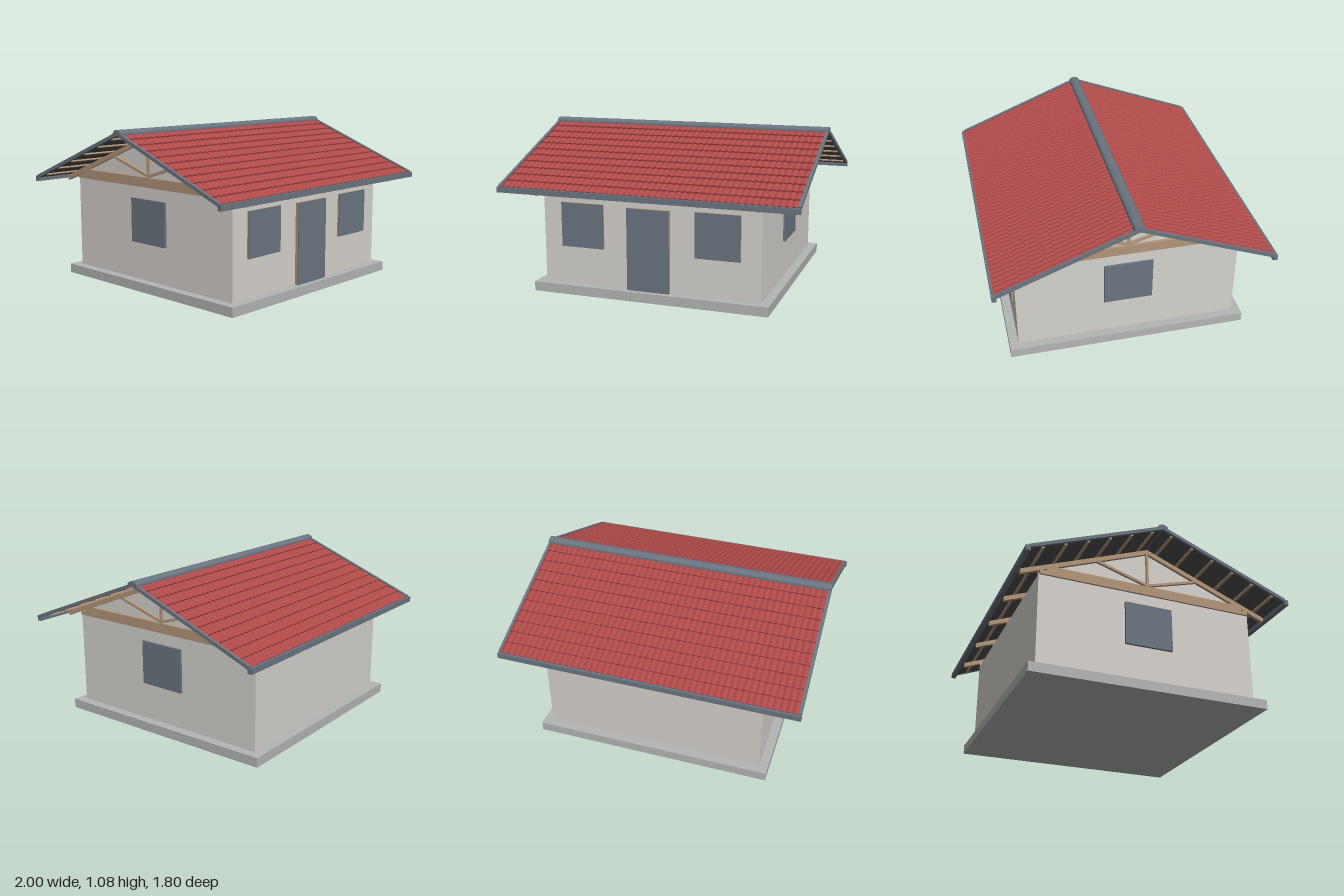
import * as THREE from 'three';

const mat = (name, color) => {
  const m = new THREE.MeshStandardMaterial({ color });
  m.name = name;
  return m;
};

export function createModel() {
  const wallMat = mat('plaster', 0xd6d3ce);
  const baseMat = mat('concrete', 0xb4b6b6);
  const woodMat = mat('timber', 0xb3967a);
  const slateMat = mat('slate grey', 0x6b7580);
  const tileMat = mat('red tile', 0xb04a4a);
  const sheetMat = mat('dark underlay', 0x505052);
  tileMat.side = THREE.DoubleSide;

  const house = new THREE.Group();
  house.name = 'house';

  const add = (parent, name, geometry, material) => {
    const mesh = new THREE.Mesh(geometry, material);
    mesh.name = name;
    parent.add(mesh);
    return mesh;
  };
  // Box given by its lower and upper limits on each axis
  const box = (parent, name, material, x0, x1, y0, y1, z0, z1) => {
    const mesh = add(parent, name, new THREE.BoxGeometry(x1 - x0, y1 - y0, z1 - z0), material);
    mesh.position.set((x0 + x1) / 2, (y0 + y1) / 2, (z0 + z1) / 2);
    return mesh;
  };
  // Polygon in the z-y plane, extruded along x about x = 0
  const prism = (points, depth) => {
    const shape = new THREE.Shape(points.map(([z, y]) => new THREE.Vector2(z, y)));
    const g = new THREE.ExtrudeGeometry(shape, { depth, bevelEnabled: false });
    g.translate(0, 0, -depth / 2);
    g.rotateY(-Math.PI / 2);
    return g;
  };

  // Slab and walls
  box(house, 'baseSlab', baseMat, -0.8, 0.8, 0, 0.063, -0.8, 0.8);
  box(house, 'walls', wallMat, -0.74, 0.74, 0.063, 0.69, -0.74, 0.74);

  // Door and front windows: timber frame with a grey panel in front
  const opening = (name, x0, x1, y0, y1, front) => {
    box(house, name + 'Frame', woodMat, x0, x1, y0, y1, 0.735, front - 0.006);
    box(house, name + 'Panel', slateMat, x0, x1, y0, y1, front - 0.006, front);
  };
  opening('door', -0.143, 0.143, 0.063, 0.605, 0.768);
  for (const s of [-1, 1]) {
    opening('frontWindow', s * 0.46 - 0.148, s * 0.46 + 0.148, 0.315, 0.61, 0.757);
    const side = box(house, 'sideWindow', slateMat, -0.01, 0.01, 0.315, 0.61, -0.162, 0.162);
    side.position.x = s * 0.746;
  }

  // Gable infill panels behind the end trusses
  for (const s of [-1, 1]) {
    const gable = add(house, 'gablePanel',
      prism([[-0.74, 0.69], [0.74, 0.69], [0.74, 0.72], [0, 1.02], [-0.74, 0.72]], 0.012), wallMat);
    gable.position.x = s * 0.728;
  }

  // Roof trusses
  const rafters = prism([[0, 1.035], [-0.86, 0.696], [-0.86, 0.663], [0, 1.002],
    [0.86, 0.663], [0.86, 0.696]], 0.025);
  for (let i = -2; i <= 2; i++) {
    const truss = new THREE.Group();
    truss.name = 'roofTruss';
    truss.position.x = i * 0.37;
    house.add(truss);
    add(truss, 'rafters', rafters, woodMat);
    box(truss, 'wallPlate', woodMat, -0.0125, 0.0125, 0.69, 0.72, -0.735, 0.735);
    box(truss, 'bottomChord', woodMat, -0.0125, 0.0125, 0.72, 0.755, -0.69, 0.69);
    box(truss, 'kingPost', woodMat, -0.01, 0.01, 0.755, 1.01, -0.008, 0.008);
    for (const s of [-1, 1]) {
      const brace = add(truss, 'brace', new THREE.BoxGeometry(0.02, 0.017, 0.375), woodMat);
      brace.position.set(0, 0.818, s * 0.18);
      brace.rotation.x = -s * Math.atan2(0.108, 0.36);
    }
  }

  // One course of wavy tiles: sloping top and lower lip, flat facets
  const slope = Math.atan(0.395);
  const length = 0.87 / Math.cos(slope);
  const rows = 11, columns = 48, segments = 6, pitch = length / rows, halfWidth = 0.982;
  const courseGeometry = () => {
    const pos = [], index = [];
    const n = columns * segments;
    for (let i = 0; i <= n; i++) {
      const x = -halfWidth + (2 * halfWidth * i) / n;
      const h = 0.007 * Math.abs(Math.sin((Math.PI * i) / segments));
      pos.push(x, 0.014 + h, 0, x, 0.024 + h, pitch + 0.004, x, 0.014, pitch + 0.004);
      if (i === n) break;
      const a = i * 3, b = a + 3;
      for (let k = 0; k < 2; k++) {
        index.push(a + k, a + k + 1, b + k, b + k, a + k + 1, b + k + 1);
      }
    }
    const g = new THREE.BufferGeometry();
    g.setAttribute('position', new THREE.Float32BufferAttribute(pos, 3));
    g.setIndex(index);
    const flat = g.toNonIndexed();
    flat.computeVertexNormals();
    return flat;
  };
  const course = courseGeometry();

  // Two mirrored roof slopes with underlay, battens, tiles, verges and gutter
  for (const turn of [0, Math.PI]) {
    const half = new THREE.Group();
    half.name = 'roofHalf';
    half.rotation.y = turn;
    house.add(half);
    const pane = new THREE.Group();
    pane.name = 'roofSlope';
    pane.position.y = 1.035;
    pane.rotation.x = slope;
    half.add(pane);

    box(pane, 'underlay', sheetMat, -0.985, 0.985, 0.01, 0.015, 0, length);
    for (let i = 0; i < 6; i++) {
      const z = 0.07 + i * 0.155;
      box(pane, 'batten', woodMat, -0.98, 0.98, 0, 0.01, z - 0.009, z + 0.009);
    }
    for (let i = 0; i < rows; i++) {
      add(pane, 'tileCourse', course, tileMat).position.z = i * pitch;
    }
    for (const s of [-1, 1]) {
      const verge = box(pane, 'vergeTrim', slateMat, -0.009, 0.009, 0.008, 0.03, 0, length);
      verge.position.x = s * 0.991;
    }
    box(half, 'gutter', slateMat, -1, 1, 0.676, 0.712, 0.87, 0.9);
  }

  // Rounded ridge cap
  const cap = [[-0.036, 1.045]];
  for (let i = 0; i <= 10; i++) {
    const a = Math.PI * (1 - i / 10);
    cap.push([0.036 * Math.cos(a), 1.054 + 0.025 * Math.sin(a)]);
  }
  cap.push([0.036, 1.045]);
  add(house, 'ridgeCap', prism(cap, 2), slateMat);

  return house;
}
